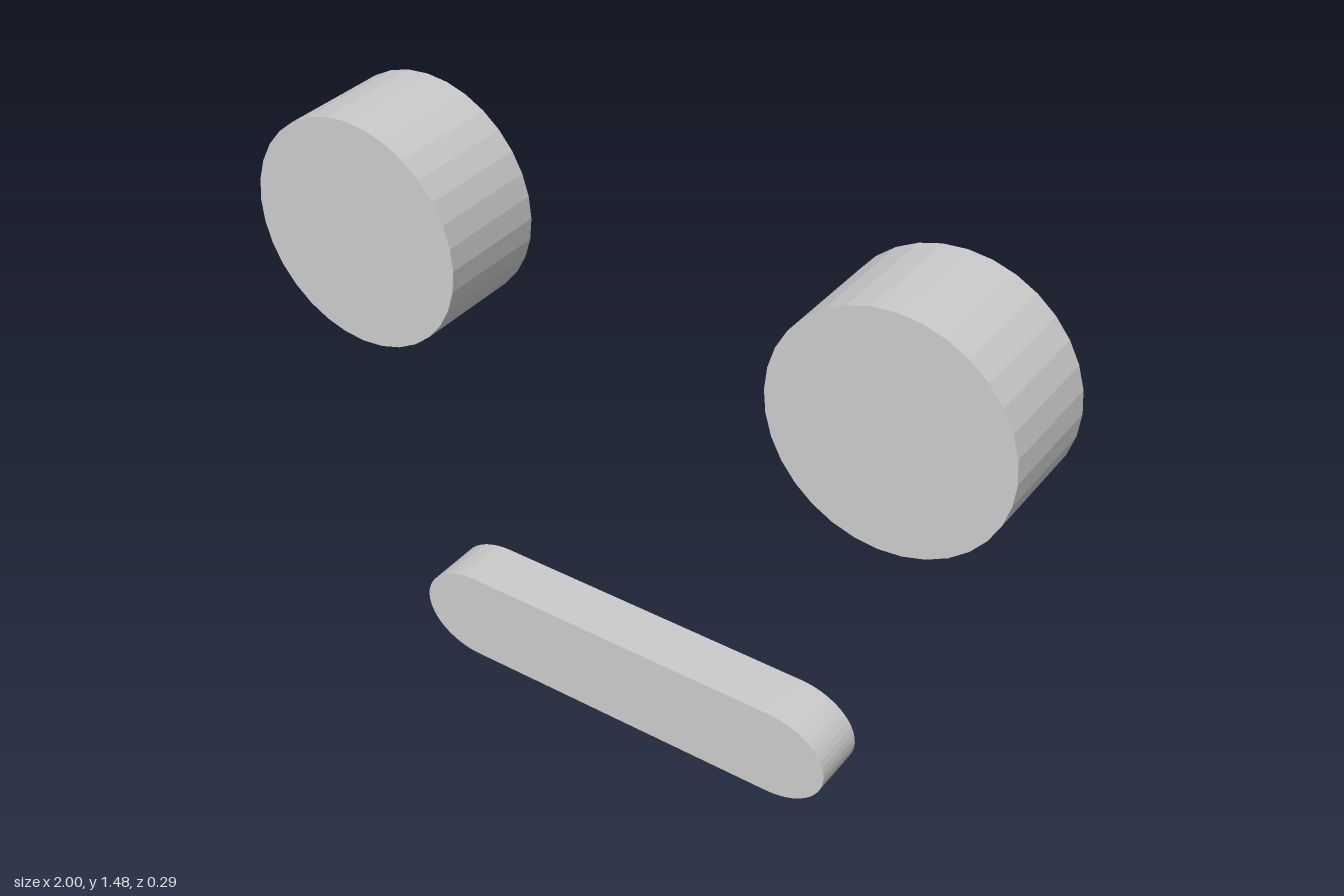
import * as THREE from 'three';

const material = new THREE.MeshStandardMaterial({ color: 0xcccccc, flatShading: true });

export function createModel() {
  const group = new THREE.Group();
  group.name = 'face';

  // Eyes: faceted discs facing forward
  const eyeGeometry = new THREE.CylinderGeometry(0.293, 0.293, 0.294, 32).rotateX(Math.PI / 2);
  for (const [name, side] of [['leftEye', 1], ['rightEye', -1]]) {
    const eye = new THREE.Mesh(eyeGeometry, material);
    eye.name = name;
    eye.position.set(side * 0.707, 1.187, 0);
    group.add(eye);
  }

  // Mouth: long bar with elliptical ends, set slightly forward
  const half = 0.44, endX = 0.156, endY = 0.124;
  const outline = new THREE.Shape();
  outline.moveTo(-half, -endY);
  outline.lineTo(half, -endY);
  outline.absellipse(half, 0, endX, endY, -Math.PI / 2, Math.PI / 2);
  outline.lineTo(-half, endY);
  outline.absellipse(-half, 0, endX, endY, Math.PI / 2, Math.PI * 1.5);
  const mouthGeometry = new THREE.ExtrudeGeometry(outline, {
    depth: 0.147, bevelEnabled: false, curveSegments: 12,
  });
  const mouth = new THREE.Mesh(mouthGeometry, material);
  mouth.name = 'mouth';
  mouth.position.set(0, endY, -0.041);
  group.add(mouth);

  return group;
}
